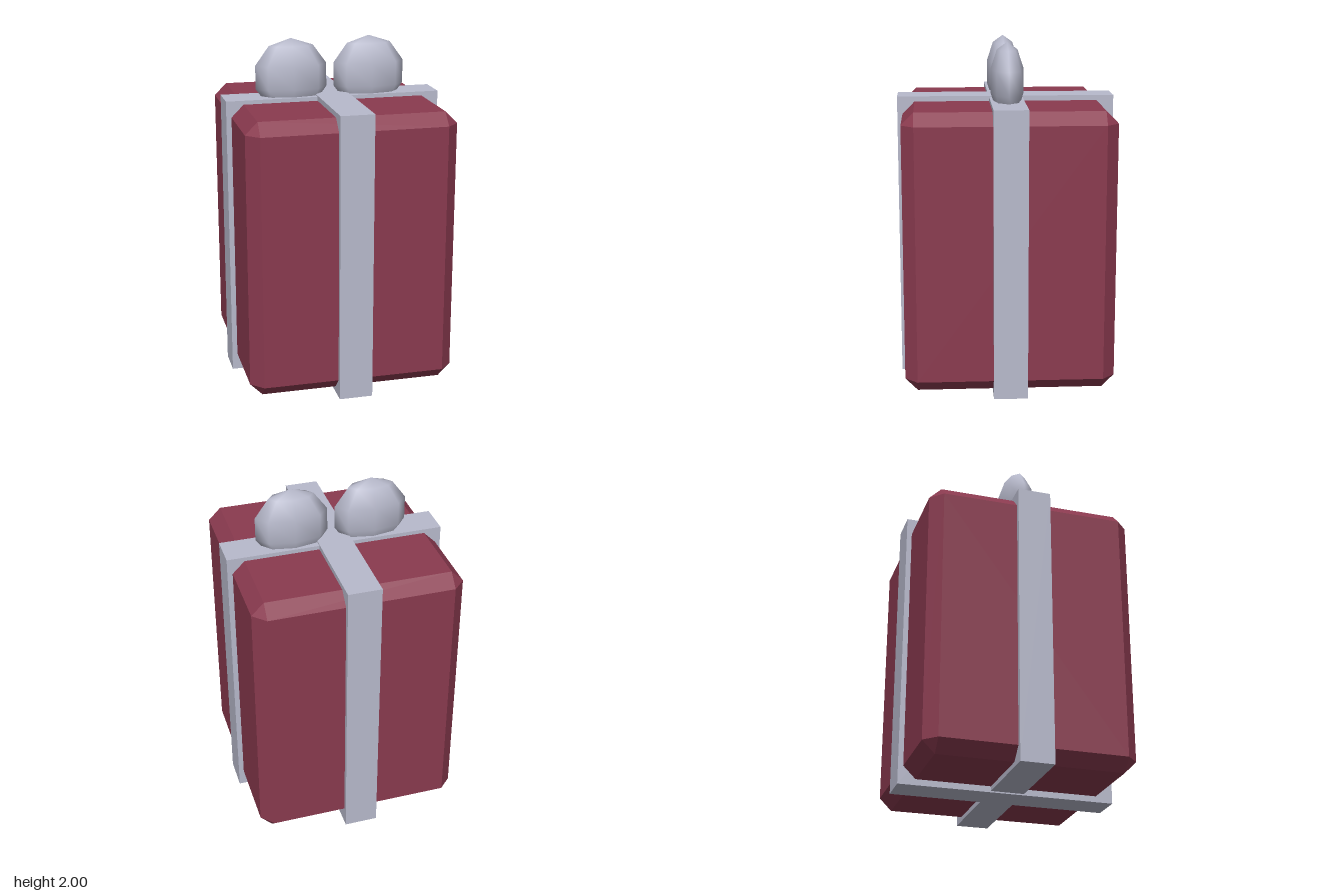
import * as THREE from 'three';
import { ConvexGeometry } from 'three/addons/geometries/ConvexGeometry.js';

const wrap = new THREE.MeshStandardMaterial({ name: 'maroon wrapping', color: 0x8a3a4f });
const silver = new THREE.MeshStandardMaterial({ name: 'silver ribbon', color: 0xb8bacc });

// Box with every edge cut at 45 degrees and a triangle at each corner
function chamferedBox(w, h, d, c) {
  const x = w / 2, y = h / 2, z = d / 2, points = [];
  for (const sx of [-1, 1]) for (const sy of [-1, 1]) for (const sz of [-1, 1]) {
    points.push(
      new THREE.Vector3(sx * x, sy * (y - c), sz * (z - c)),
      new THREE.Vector3(sx * (x - c), sy * y, sz * (z - c)),
      new THREE.Vector3(sx * (x - c), sy * (y - c), sz * z));
  }
  return new ConvexGeometry(points);
}

export function createModel() {
  const group = new THREE.Group();
  group.name = 'giftBox';

  function add(name, geometry, material, x, y, z) {
    const mesh = new THREE.Mesh(geometry, material);
    mesh.name = name;
    mesh.position.set(x, y, z);
    group.add(mesh);
  }

  // Wrapped box
  add('box', chamferedBox(1.204, 1.61, 1.204, 0.071), wrap, 0, 0.84, 0);

  // Crossed ribbon bands, one a hair taller so the tops do not coincide
  add('ribbonFrontToBack', new THREE.BoxGeometry(0.194, 1.675, 1.264), silver, 0, 0.8375, 0);
  add('ribbonSideToSide', new THREE.BoxGeometry(1.264, 1.66, 0.194), silver, 0, 0.838, 0);

  // Two flattened bow loops
  for (const side of [-1, 1]) {
    const loop = new THREE.SphereGeometry(1, 8, 5).scale(0.221, 0.221, 0.1);
    add(side > 0 ? 'leftBowLoop' : 'rightBowLoop', loop, silver, side * 0.232, 1.779, 0);
  }
  return group;
}
